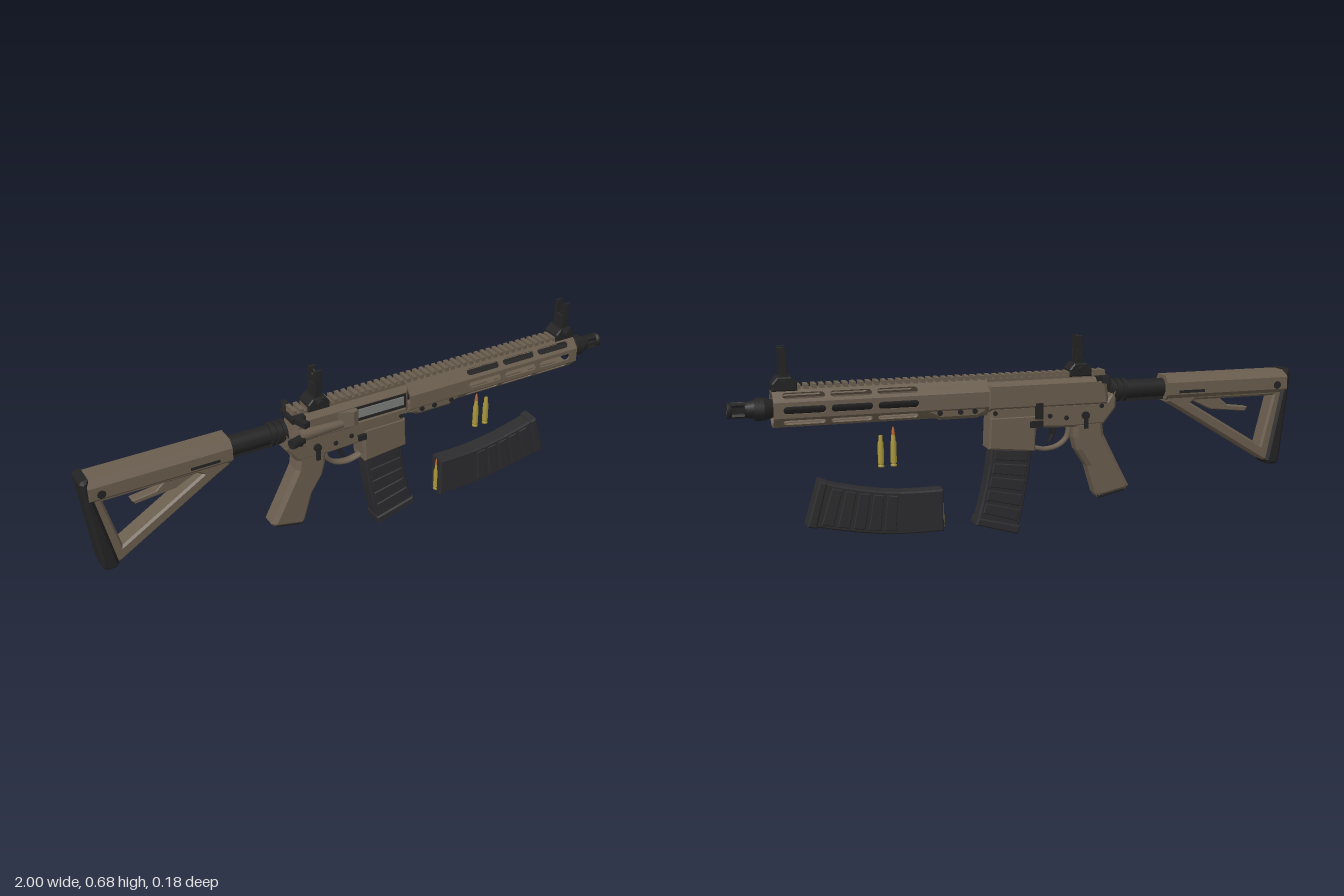
import * as THREE from 'three';

const mat = (color) => new THREE.MeshStandardMaterial({ color });
const TAN = mat(0x6a5d4e), BLACK = mat(0x232324), MAG = mat(0x2c2c2e);
const STEEL = mat(0x7c807c), BRASS = mat(0xa8963c), COPPER = mat(0xb0622c);
const AXIS_Y = 0.487;

const v2 = (pts) => pts.map(([x, y]) => new THREE.Vector2(x, y));

function add(parent, name, geometry, material, x = 0, y = 0, z = 0) {
  const mesh = new THREE.Mesh(geometry, material);
  mesh.name = name;
  mesh.position.set(x, y, z);
  parent.add(mesh);
  return mesh;
}

const box = (p, name, m, x, y, z, w, h, d) => add(p, name, new THREE.BoxGeometry(w, h, d), m, x, y, z);

// Side profile in x/y, extruded symmetrically in z with chamfered edges
function plate(p, name, m, pts, half, bevel = 0.006, holes = [], z = 0) {
  const shape = new THREE.Shape(v2(pts));
  holes.forEach((h) => shape.holes.push(new THREE.Path(v2(h))));
  const geo = new THREE.ExtrudeGeometry(shape, {
    depth: 2 * (half - bevel), bevelEnabled: bevel > 0, bevelThickness: bevel,
    bevelSize: bevel, bevelOffset: -bevel, bevelSegments: 1,
  });
  geo.translate(0, 0, bevel - half);
  return add(p, name, geo, m, 0, 0, z);
}

// Cylinder lying along x from x0 to x1
function rod(p, name, m, x0, x1, r, y = AXIS_Y, sides = 24, z = 0, r2 = r) {
  const geo = new THREE.CylinderGeometry(r2, r, x1 - x0, sides);
  geo.rotateY(Math.PI / sides).rotateZ(-Math.PI / 2);
  return add(p, name, geo, m, (x0 + x1) / 2, y, z);
}

// Short pin or knob along z
function pin(p, name, m, x, y, z, r, length) {
  return add(p, name, new THREE.CylinderGeometry(r, r, length, 16).rotateX(Math.PI / 2), m, x, y, z);
}

function slot(x0, x1, y, r) {
  const path = new THREE.Path();
  path.absarc(x1 - r, y, r, -Math.PI / 2, Math.PI / 2);
  path.absarc(x0 + r, y, r, Math.PI / 2, Math.PI * 1.5);
  path.closePath();
  return path;
}

function makeStock() {
  const g = new THREE.Group();
  g.name = 'stock';
  // Tubular upper body: chamfered section run along x
  const s = new THREE.Shape(v2([[-0.03, 0.445], [0.03, 0.445], [0.051, 0.465], [0.051, 0.508],
    [0.032, 0.532], [-0.032, 0.532], [-0.051, 0.508], [-0.051, 0.465]]));
  const body = new THREE.ExtrudeGeometry(s, { depth: 0.475, bevelEnabled: false }).rotateY(Math.PI / 2);
  add(g, 'stockBody', body, TAN, -0.98, 0, 0);
  plate(g, 'stockFrame', TAN, [[-0.985, 0.46], [-0.51, 0.46], [-0.51, 0.438], [-0.56, 0.41], [-0.9, 0.202],
    [-0.93, 0.195]], 0.036, 0.008,
  [[[-0.935, 0.44], [-0.89, 0.257], [-0.605, 0.43], [-0.62, 0.44]]]);
  plate(g, 'buttPad', BLACK, [[-1, 0.525], [-0.99, 0.537], [-0.972, 0.537], [-0.968, 0.48], [-0.91, 0.2],
    [-0.92, 0.185], [-0.955, 0.185], [-0.965, 0.2]], 0.046, 0.01);
  plate(g, 'stockLever', TAN, [[-0.84, 0.40], [-0.83, 0.385], [-0.69, 0.40], [-0.6, 0.445], [-0.72, 0.445],
    [-0.76, 0.41]], 0.018, 0.003);
  for (const z of [-0.05, 0.05]) {
    box(g, 'stockGroove', BLACK, -0.6, 0.475, z, 0.1, 0.01, 0.004);
    pin(g, 'slingSocket', BLACK, -0.94, 0.48, z, 0.014, 0.006);
  }
  // Receiver extension
  rod(g, 'bufferTube', BLACK, -0.52, -0.3, 0.033);
  box(g, 'bufferTubeRail', BLACK, -0.43, 0.457, 0, 0.17, 0.022, 0.028);
  for (const x of [-0.36, -0.338, -0.316]) rod(g, 'lockRing', BLACK, x, x + 0.014, 0.041, AXIS_Y, 12);
  return g;
}

function makeReceiver() {
  const g = new THREE.Group();
  g.name = 'receiver';
  plate(g, 'upperReceiver', TAN, [[-0.28, 0.525], [-0.27, 0.54], [0.155, 0.54], [0.155, 0.44], [-0.29, 0.44]], 0.046, 0.014);
  plate(g, 'lowerReceiver', TAN, [[-0.315, 0.5], [-0.28, 0.455], [0.14, 0.455], [0.145, 0.31], [-0.015, 0.297],
    [-0.025, 0.375], [-0.16, 0.37], [-0.27, 0.375], [-0.315, 0.43]], 0.04, 0.008);
  plate(g, 'magazineWell', TAN, [[-0.02, 0.42], [0.142, 0.42], [0.147, 0.312], [-0.017, 0.295]], 0.043, 0.005);
  // Ejection side
  box(g, 'ejectionPort', BLACK, 0.04, 0.496, 0.044, 0.2, 0.055, 0.006);
  box(g, 'bolt', STEEL, 0.04, 0.498, 0.046, 0.18, 0.032, 0.008);
  box(g, 'dustCover', TAN, 0.04, 0.46, 0.05, 0.19, 0.014, 0.012);
  const deflector = [[-0.13, 0.046], [-0.055, 0.046], [-0.055, 0.066], [-0.075, 0.073]];
  const dg = new THREE.ExtrudeGeometry(new THREE.Shape(v2(deflector)), { depth: 0.055, bevelEnabled: false });
  add(g, 'caseDeflector', dg.rotateX(Math.PI / 2).scale(1, 1, 1), TAN, 0, 0.523, -0.003);
  rod(g, 'forwardAssistHousing', TAN, -0.27, -0.11, 0.021, 0.48, 12, 0.05, 0.014);
  const assist = rod(g, 'forwardAssist', BLACK, -0.31, -0.26, 0.017, 0.47, 16, 0.064);
  assist.rotation.y = 0.3;
  // Controls
  for (const side of [-1, 1]) {
    pin(g, 'selectorHub', BLACK, -0.2, 0.41, side * 0.042, 0.014, 0.014);
    box(g, 'selectorLever', BLACK, -0.2, 0.39, side * 0.049, 0.014, 0.05, 0.009);
    for (const [x, y] of [[-0.13, 0.405], [-0.07, 0.415], [-0.26, 0.44], [0.125, 0.435]])
      pin(g, 'receiverPin', BLACK, x, y, side * 0.04, 0.008, 0.009);
  }
  box(g, 'magazineRelease', BLACK, -0.03, 0.4, 0.045, 0.03, 0.02, 0.014);
  box(g, 'boltCatch', BLACK, -0.03, 0.435, -0.046, 0.026, 0.055, 0.014);
  box(g, 'magazineCatch', BLACK, -0.02, 0.39, -0.045, 0.045, 0.022, 0.012);
  // Charging handle with a swept latch at each end
  box(g, 'chargingHandle', BLACK, -0.265, 0.535, 0, 0.05, 0.018, 0.09);
  for (const side of [-1, 1]) {
    const latch = box(g, 'chargingLatch', BLACK, -0.264, 0.535, side * 0.06, 0.022, 0.02, 0.054);
    latch.rotation.y = side * 0.3;
  }
  // Trigger and guard
  const guard = new THREE.CatmullRomCurve3([[-0.155, 0.375], [-0.145, 0.33], [-0.115, 0.303], [-0.065, 0.293],
    [-0.01, 0.305]].map(([x, y]) => new THREE.Vector3(x, y, 0)));
  add(g, 'triggerGuard', new THREE.TubeGeometry(guard, 20, 0.008, 8).scale(1, 1, 2), TAN);
  plate(g, 'trigger', BLACK, [[-0.11, 0.38], [-0.08, 0.38], [-0.088, 0.345], [-0.078, 0.315], [-0.088, 0.315],
    [-0.101, 0.345]], 0.009, 0.002);
  // Grip
  plate(g, 'grip', TAN, [[-0.29, 0.395], [-0.27, 0.37], [-0.275, 0.335], [-0.3, 0.285], [-0.372, 0.145],
    [-0.36, 0.132], [-0.255, 0.11], [-0.245, 0.125], [-0.215, 0.225], [-0.175, 0.285], [-0.163, 0.33],
    [-0.16, 0.385]], 0.037, 0.014);
  plate(g, 'gripCap', BLACK, [[-0.36, 0.143], [-0.355, 0.128], [-0.26, 0.107], [-0.25, 0.12]], 0.028, 0.003);
  return g;
}

function makeHandguard() {
  const g = new THREE.Group();
  g.name = 'handguard';
  const x0 = 0.15, x1 = 0.86, wall = 0.007;
  // Octagonal shell: one slotted panel for each side of the section (z, y)
  const half = [[0.026, 0.428], [0.06, 0.462], [0.06, 0.513], [0.026, 0.55]];
  const section = [...half, ...half.map(([z, y]) => [-z, y]).reverse()];
  section.forEach(([z, y], i) => {
    const [zn, yn] = section[(i + 1) % 8];
    const len = Math.hypot(zn - z, yn - y);
    const shape = new THREE.Shape(v2([[0, 0], [x1 - x0, 0], [x1 - x0, len], [0, len]]));
    if (i !== 3) for (let k = 0; k < 3; k++) shape.holes.push(slot(0.24 + k * 0.152, 0.375 + k * 0.152, len / 2, 0.012));
    const geo = new THREE.ExtrudeGeometry(shape, { depth: wall, bevelEnabled: false, curveSegments: 6 });
    geo.translate(0, 0, -wall);
    const X = new THREE.Vector3(1, 0, 0), S = new THREE.Vector3(0, (yn - y) / len, (zn - z) / len);
    geo.applyMatrix4(new THREE.Matrix4().makeBasis(X, S, X.clone().cross(S)).setPosition(x0, y, z));
    add(g, 'handguardPanel', geo, TAN);
  });
  plate(g, 'handguardClamp', TAN, [[0.155, 0.475], [0.36, 0.475], [0.36, 0.445], [0.32, 0.425], [0.19, 0.425],
    [0.155, 0.44]], 0.054, 0.012);
  for (const x of [0.2, 0.25, 0.32]) for (const z of [-0.055, 0.055]) pin(g, 'clampScrew', BLACK, x, 0.45, z, 0.009, 0.008);
  // Full-length top rail
  box(g, 'railBase', TAN, 0.29, 0.543, 0, 1.14, 0.014, 0.042);
  for (let x = -0.27; x < 0.86; x += 0.0255) box(g, 'railTooth', TAN, x, 0.556, 0, 0.014, 0.014, 0.054);
  return g;
}

function makeBarrel() {
  const g = new THREE.Group();
  g.name = 'barrel';
  rod(g, 'barrelTube', BLACK, 0.15, 0.9, 0.021);
  rod(g, 'muzzleCollar', BLACK, 0.85, 0.885, 0.028, AXIS_Y, 8, 0, 0.038);
  rod(g, 'muzzleNut', BLACK, 0.885, 0.915, 0.038, AXIS_Y, 8);
  rod(g, 'muzzleNeck', BLACK, 0.915, 0.945, 0.03, AXIS_Y, 16, 0, 0.025);
  // Open flash hider: six bars joined by a front ring
  for (let i = 0; i < 6; i++) {
    const a = (i / 6) * Math.PI * 2;
    const bar = box(g, 'flashHiderBar', BLACK, 0.966, AXIS_Y + 0.021 * Math.sin(a), 0.021 * Math.cos(a), 0.06, 0.013, 0.008);
    bar.rotation.x = -a;
  }
  const ring = v2([[0.016, 0], [0.026, 0], [0.026, 0.014], [0.016, 0.014], [0.016, 0]]);
  add(g, 'flashHiderRing', new THREE.LatheGeometry(ring, 24).rotateZ(-Math.PI / 2), BLACK, 0.986, AXIS_Y, 0);
  return g;
}

function makeSight(name, x, isFront) {
  const g = new THREE.Group();
  g.name = name;
  plate(g, 'sightBase', BLACK, [[-0.04, 0.545], [0.04, 0.545], [0.04, 0.57], [0.022, 0.59], [-0.022, 0.59],
    [-0.04, 0.572]], 0.034, 0.004);
  pin(g, 'clampKnob', BLACK, 0, 0.575, 0.043, 0.014, 0.02);
  pin(g, 'hingePin', BLACK, 0, 0.572, -0.04, 0.01, 0.02);
  box(g, 'sightLeaf', BLACK, 0, 0.61, 0, 0.022, 0.05, 0.04);
  for (const z of [-0.021, 0.021])
    plate(g, 'sightWing', BLACK, [[-0.014, 0.58], [0.014, 0.58], [0.012, 0.64], [0.016, 0.685], [-0.008, 0.685],
      [-0.01, 0.64]], 0.005, 0.001, [], z);
  if (isFront) add(g, 'frontPost', new THREE.CylinderGeometry(0.004, 0.005, 0.05, 8), BLACK, 0, 0.65, 0);
  else {
    box(g, 'apertureStem', BLACK, 0, 0.645, 0, 0.012, 0.03, 0.03);
    add(g, 'aperture', new THREE.TorusGeometry(0.011, 0.0055, 8, 20).rotateY(Math.PI / 2), BLACK, 0, 0.67, 0);
  }
  g.position.x = x;
  return g;
}

// Curved magazine, feed end at the local origin, running along +x
function makeMagazine(name) {
  const g = new THREE.Group();
  g.name = name;
  const low = (u) => 0.003 + 0.31 * Math.max(0, u - 0.11) ** 1.6;
  const strip = (part, u0, u1, half, grow, bevel) => {
    const pts = [], n = 6;
    // Cross-cuts lean with the curve, so the upper edge lags behind the lower
    const lean = (u) => 0.045 * (u / 0.46) ** 1.5;
    for (let i = 0; i <= n; i++) { const u = u0 + (u1 - u0) * i / n; pts.push([u, low(u) - grow]); }
    for (let i = n; i >= 0; i--) { const u = u0 + (u1 - u0) * i / n; pts.push([u - lean(u), low(u) + 0.145 + grow]); }
    plate(g, part, MAG, pts, half, bevel);
  };
  strip('magazineBody', 0, 0.45, 0.031, 0, 0.005);
  for (let i = 0; i < 5; i++) strip('magazineRib', 0.165 + i * 0.052, 0.205 + i * 0.052, 0.034, -0.012, 0.003);
  strip('magazineBasePlate', 0.43, 0.46, 0.037, 0.003, 0.005);
  const round = makeCartridge('topRound', true);
  round.rotation.z = -Math.PI / 2 + Math.PI / 2;
  round.position.set(0.002, 0.012, 0);
  g.add(round);
  return g;
}

// Bottle-necked case standing on its base, with an optional bullet
function makeCartridge(name, loaded) {
  const g = new THREE.Group();
  g.name = name;
  const profile = v2([[0, 0], [0.0105, 0], [0.0105, 0.005], [0.008, 0.007], [0.008, 0.01], [0.0105, 0.013],
    [0.01, 0.08], [0.0068, 0.09], [0.0068, 0.107], [0.005, 0.107], [0.005, 0.095], [0, 0.095]]);
  add(g, 'case', new THREE.LatheGeometry(profile, 20), BRASS);
  if (loaded) add(g, 'bullet', new THREE.LatheGeometry(v2([[0.0062, 0.1], [0.0062, 0.11], [0.0045, 0.123],
    [0.002, 0.133], [0, 0.135]]), 20), COPPER);
  return g;
}

export function createModel() {
  const model = new THREE.Group();
  model.name = 'rifleSet';
  model.add(makeStock(), makeReceiver(), makeHandguard(), makeBarrel());
  model.add(makeSight('rearSight', -0.185, false), makeSight('frontSight', 0.82, true));

  const fitted = makeMagazine('fittedMagazine');
  fitted.rotation.z = -Math.PI / 2;
  fitted.position.set(-0.015, 0.464, 0);
  const spare = makeMagazine('spareMagazine');
  spare.position.set(0.305, 0.035, 0);

  const round = makeCartridge('looseRound', true);
  round.position.set(0.467, 0.27, 0);
  const empty = makeCartridge('emptyCase', false);
  empty.position.set(0.51, 0.27, 0);
  model.add(fitted, spare, round, empty);
  return model;
}
